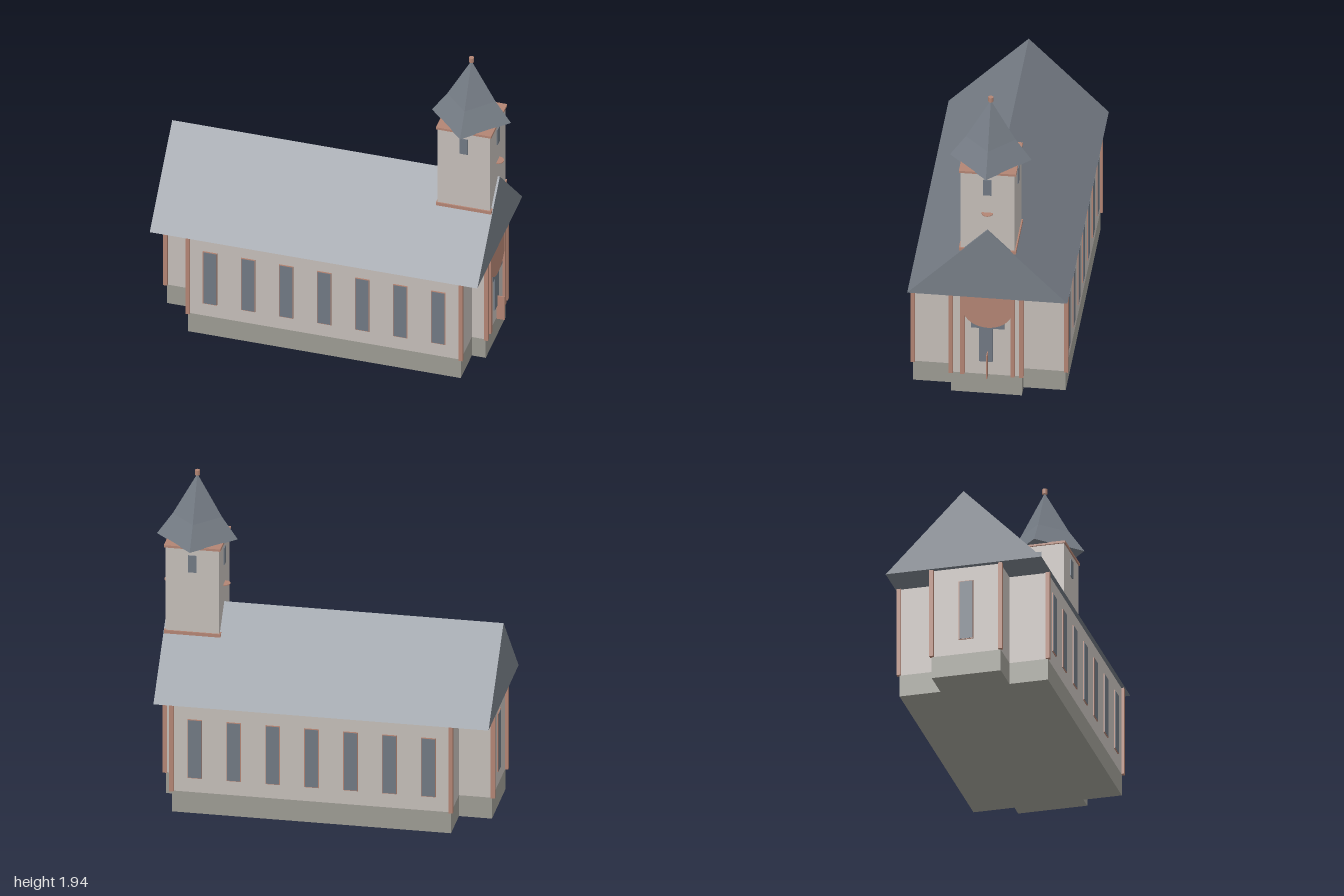
import * as THREE from 'three';

const mat = (name, color) => {
  const m = new THREE.MeshStandardMaterial({ color });
  m.name = name;
  return m;
};

export function createModel() {
  const wall = mat('plaster', 0xc3bcb7);
  const stone = mat('stone', 0x9b9a92);
  const slate = mat('slate', 0x767d86);
  const trim = mat('trim', 0xb28473);
  const glass = mat('glass', 0x707882);

  const model = new THREE.Group();
  model.name = 'church';

  const add = (name, geo, material, x = 0, y = 0, z = 0, parent = model) => {
    const mesh = new THREE.Mesh(geo, material);
    mesh.name = name;
    mesh.position.set(x, y, z);
    parent.add(mesh);
    return mesh;
  };
  const box = (name, material, w, h, d, x, y, z, parent) =>
    add(name, new THREE.BoxGeometry(w, h, d), material, x, y, z, parent);

  // Framed window facing +z, turned by angle
  const addWindow = (name, w, h, x, y, z, angle) => {
    const g = new THREE.Group();
    g.name = name;
    g.position.set(x, y, z);
    g.rotation.y = angle;
    box('windowFrame', trim, w, h, 0.006, 0, 0, 0.003, g);
    box('windowGlass', glass, w - 0.008, h - 0.008, 0.008, 0, 0, 0.004, g);
    model.add(g);
  };

  // Nave with a narrower bay at each end: plinth and walls share one footprint
  const outline = [
    [-0.97, -0.21], [-0.78, -0.21], [-0.78, -0.435], [0.828, -0.435], [0.828, -0.21], [0.91, -0.21],
    [0.91, 0.195], [0.828, 0.195], [0.828, 0.435], [-0.78, 0.435], [-0.78, 0.195], [-0.97, 0.195],
  ];
  const footprint = new THREE.Shape(outline.map(([x, y]) => new THREE.Vector2(x, y)));
  const storey = (name, material, y0, y1) => {
    const geo = new THREE.ExtrudeGeometry(footprint, { depth: y1 - y0, bevelEnabled: false });
    geo.rotateX(-Math.PI / 2);
    add(name, geo, material, 0, y0, 0);
  };
  storey('plinth', stone, 0, 0.13);
  storey('walls', wall, 0.13, 0.67);

  // Corner posts and portal posts
  const posts = [
    [-0.78, 0.437], [-0.78, -0.438], [0.83, 0.437], [0.83, -0.438],
    [-0.977, 0.21], [-0.977, -0.193], [0.914, 0.21], [0.914, -0.193],
    [0.914, 0.143], [0.914, -0.143],
  ];
  for (const [x, z] of posts) box('post', trim, 0.024, 0.54, 0.024, x, 0.4, z);

  // Saddle roof with closed gables
  const gable = new THREE.Shape([
    new THREE.Vector2(-0.457, 0.667), new THREE.Vector2(0.457, 0.667), new THREE.Vector2(0, 1.132),
  ]);
  const roof = new THREE.ExtrudeGeometry(gable, { depth: 1.932, bevelEnabled: false });
  roof.rotateY(Math.PI / 2);
  add('roof', roof, slate, -1, 0, 0);

  // Nave windows
  for (let i = 0; i < 7; i++) {
    const x = -0.65 + i * 0.2245;
    addWindow('naveWindow', 0.084, 0.364, x, 0.4, 0.435, 0);
    addWindow('naveWindow', 0.084, 0.364, x, 0.4, -0.435, Math.PI);
  }
  addWindow('rearWindow', 0.084, 0.364, -0.97, 0.4, 0.007, -Math.PI / 2);

  // Portal: glazed door, crossbar, rounded canopy panel and upright door leaf
  box('doorGlass', glass, 0.008, 0.36, 0.078, 0.914, 0.4, 0.01);
  box('doorCrossbar', glass, 0.008, 0.045, 0.19, 0.915, 0.472, 0);
  const arch = new THREE.Shape();
  arch.moveTo(-0.135, 0.667);
  arch.lineTo(-0.135, 0.54);
  arch.quadraticCurveTo(-0.095, 0.46, 0, 0.457);
  arch.quadraticCurveTo(0.095, 0.46, 0.135, 0.54);
  arch.lineTo(0.135, 0.667);
  const archGeo = new THREE.ExtrudeGeometry(arch, { depth: 0.008, bevelEnabled: false });
  archGeo.rotateY(Math.PI / 2);
  add('portalArch', archGeo, trim, 0.915, 0, 0);
  box('doorLeaf', trim, 0.047, 0.16, 0.006, 0.938, 0.21, 0);

  // Tower
  const tx = 0.765;
  box('tower', wall, 0.31, 0.55, 0.31, tx, 1.245, 0);
  box('towerBaseBand', trim, 0.326, 0.02, 0.326, tx, 0.988, 0);
  box('towerCornice', trim, 0.326, 0.014, 0.326, tx, 1.519, 0);
  for (let i = 0; i < 4; i++) {
    const a = i * Math.PI / 2;
    const plate = box('towerWindow', glass, 0.048, 0.104, 0.008,
      tx + Math.sin(a) * 0.157, 1.42, Math.cos(a) * 0.157);
    plate.rotation.y = a;
  }
  for (const s of [-1, 1]) {
    add('towerDisc', new THREE.CylinderGeometry(0.033, 0.033, 0.005, 16), trim, tx + s * 0.158, 1.245, 0);
  }

  // Flared four-sided spire, set diagonally, with a knob
  const profile = [[0, 1.523], [0.233, 1.523], [0.142, 1.655], [0, 1.912]];
  const spire = new THREE.LatheGeometry(profile.map(([r, y]) => new THREE.Vector2(r, y)), 4).toNonIndexed();
  spire.computeVertexNormals();
  add('spire', spire, slate, tx, 0, 0);
  add('knob', new THREE.CylinderGeometry(0.015, 0.015, 0.03, 8), trim, tx, 1.921, 0);

  return model;
}
